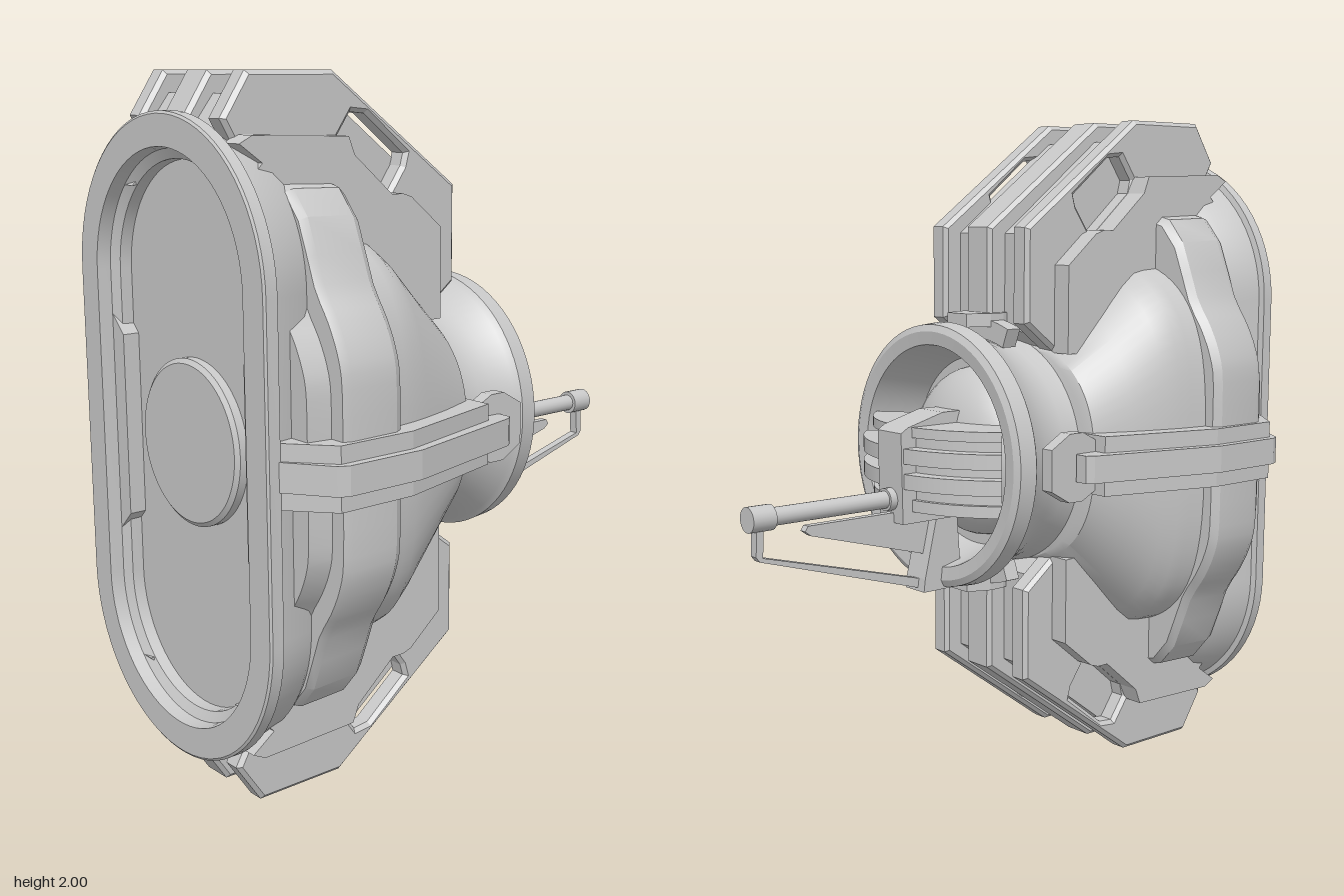
import * as THREE from 'three';
import { toCreasedNormals } from 'three/addons/utils/BufferGeometryUtils.js';

const grey = new THREE.MeshStandardMaterial({ color: 0xc8c8c8 });
grey.name = 'grey metal';

function add(parent, name, geometry) {
  const mesh = new THREE.Mesh(geometry, grey);
  mesh.name = name;
  parent.add(mesh);
  return mesh;
}

const toPoints = pts => pts.map(p => new THREE.Vector2(...p));

// Closed outlines in the xy plane, counter-clockwise
const N = 72;
const superellipse = (hw, hh, n) => Array.from({ length: N }, (_, i) => {
  const a = (i / N) * Math.PI * 2, c = Math.cos(a), s = Math.sin(a);
  return [hw * Math.sign(c) * Math.abs(c) ** (2 / n), hh * Math.sign(s) * Math.abs(s) ** (2 / n)];
});
const circle = r => superellipse(r, r, 2);
const stadium = r => Array.from({ length: N }, (_, i) => {
  const top = i < N / 2;
  const a = ((i % (N / 2)) / (N / 2 - 1)) * Math.PI + (top ? 0 : Math.PI);
  return [r * Math.cos(a), r * Math.sin(a) + (top ? 0.45 : -0.45)];
});

// Soft hexagon for the outer band, mirrored from one quadrant
const corner = new THREE.SplineCurve(toPoints([[1, 0], [1, 0.3], [0.97, 0.42], [0.9, 0.53], [0.8, 0.645], [0.58, 0.96], [0, 1]]));
const hull = (hw, hh) => Array.from({ length: N }, (_, i) => {
  const k = Math.floor(i / 18), step = (i % 18) / 18;
  const p = corner.getPoint(k % 2 ? 1 - step : step);
  return [p.x * hw * (k === 1 || k === 2 ? -1 : 1), p.y * hh * (k > 1 ? -1 : 1)];
});

// Skin a list of [outline, z] sections and close both ends
function loft(sections, crease = 0.5) {
  const pos = [], idx = [];
  sections.forEach(([o, z]) => o.forEach(([x, y]) => pos.push(x, y, z)));
  for (let s = 0; s < sections.length - 1; s++) {
    for (let i = 0; i < N; i++) {
      const a = s * N + i, b = s * N + (i + 1) % N;
      idx.push(a, b, b + N, a, b + N, a + N);
    }
  }
  const last = sections.length - 1, c = sections.length * N;
  pos.push(0, 0, sections[0][1], 0, 0, sections[last][1]);
  for (let i = 0; i < N; i++) {
    const j = (i + 1) % N;
    idx.push(c, j, i, c + 1, last * N + i, last * N + j);
  }
  const g = new THREE.BufferGeometry();
  g.setAttribute('position', new THREE.Float32BufferAttribute(pos, 3));
  g.setIndex(idx);
  return toCreasedNormals(g, crease);
}

// Side profile in (z, y), given thickness between x0 and x1
function sideProfile(pts, x0, x1, { hole, bevel = 0 } = {}) {
  const shape = new THREE.Shape(toPoints(pts));
  if (hole) shape.holes.push(new THREE.Path(toPoints(hole)));
  return new THREE.ExtrudeGeometry(shape, {
    depth: x1 - x0 - 2 * bevel, bevelEnabled: bevel > 0, bevelThickness: bevel,
    bevelSize: bevel, bevelOffset: -bevel, bevelSegments: 1,
  }).rotateY(-Math.PI / 2).translate(x1 - bevel, 0, 0);
}

// Plan profile in (x, z), given height h about y = 0
function planProfile(pts, h) {
  return new THREE.ExtrudeGeometry(new THREE.Shape(toPoints(pts)), { depth: h, bevelEnabled: false })
    .rotateX(Math.PI / 2).translate(0, h / 2, 0);
}

// Cylinder along z
function rod(r, z0, z1, y) {
  return new THREE.CylinderGeometry(r, r, Math.abs(z1 - z0), 20)
    .rotateX(Math.PI / 2).translate(0, y, (z0 + z1) / 2);
}

// Vertical rib stack: three ribs, filler between them, side plates
function ribStack() {
  const g = new THREE.Group();
  g.name = 'ribStack';
  const rib = [[0.79, 0.88], [0.71, 1], [0.43, 1], [-0.01, 0.68], [-0.01, 0.4], [0.12, 0.3], [0.6, 0.3], [0.72, 0.76]];
  const slot = [[0.42, 0.82], [0.37, 0.89], [0.32, 0.885], [0.18, 0.775], [0.19, 0.74], [0.24, 0.67], [0.28, 0.67], [0.41, 0.78]];
  add(g, 'centreRib', sideProfile(rib, -0.057, 0.057, { bevel: 0.012 }));
  const filler = [[0.77, 0.85], [0.7, 0.94], [0.42, 0.94], [0.05, 0.66], [0.05, 0.37], [0.12, 0.3], [0.6, 0.3], [0.7, 0.74]];
  add(g, 'ribFiller', sideProfile(filler, -0.17, 0.17));
  const plate = [[0.78, 0.82], [0.74, 0.84], [0.43, 0.83], [0.41, 0.78], [0.28, 0.67], [0.24, 0.67], [0.21, 0.66],
    [0.1, 0.57], [0.1, 0.31], [0.5, 0.3], [0.67, 0.7], [0.79, 0.69], [0.71, 0.77]];
  for (const s of [-1, 1]) {
    const a = s > 0 ? 0.155 : -0.225;
    add(g, 'outerRib', sideProfile(rib, a, a + 0.07, { hole: slot, bevel: 0.012 }));
    const b = s > 0 ? 0.215 : -0.285;
    add(g, 'sidePlate', sideProfile(plate, b, b + 0.07));
  }
  // Curved collar over the neck
  const arc = new THREE.Shape();
  arc.absarc(0, 0, 0.41, Math.PI * 0.38, Math.PI * 0.62, false);
  arc.absarc(0, 0, 0.35, Math.PI * 0.62, Math.PI * 0.38, true);
  add(g, 'neckCollar', new THREE.ExtrudeGeometry(arc, { depth: 0.05, bevelEnabled: false, curveSegments: 24 }).translate(0, 0, -0.02));
  return g;
}

// Horizontal strap round one flank
function flankStrap() {
  const g = new THREE.Group();
  g.name = 'flankStrap';
  add(g, 'strapBand', planProfile([[0.42, 0.81], [0.565, 0.69], [0.565, 0.45], [0.465, 0.08], [0.33, 0.08], [0.33, 0.66], [0.4, 0.8]], 0.175));
  add(g, 'strapRidge', planProfile([[0.44, 0.8], [0.575, 0.71], [0.59, 0.68], [0.59, 0.44], [0.485, 0.02], [0.47, 0], [0.43, 0], [0.36, 0.1], [0.36, 0.66]], 0.08));
  return g;
}

export function createModel() {
  const model = new THREE.Group();
  model.name = 'model';
  const root = new THREE.Group();
  root.name = 'housing';
  root.position.y = 1;
  model.add(root);

  // Front rim with sunken panel
  add(root, 'frontRim', loft([
    [0.36, 0.6], [0.41, 0.68], [0.43, 0.785], [0.447, 0.79], [0.447, 0.825], [0.44, 0.83],
    [0.355, 0.83], [0.35, 0.79], [0.322, 0.775], [0.32, 0.74],
  ].map(([r, z]) => [stadium(r), z])));
  add(root, 'frontDisc', loft([[circle(0.235), 0.735], [circle(0.235), 0.765], [circle(0.222), 0.775]]));
  for (const turn of [0, Math.PI]) {
    const guide = new THREE.ExtrudeGeometry(
      new THREE.Shape(toPoints([[0.295, -0.265], [0.355, -0.325], [0.355, 0.325], [0.295, 0.265]])),
      { depth: 0.06, bevelEnabled: false }).translate(0, 0, 0.73);
    add(root, 'panelGuide', guide).rotation.z = turn;
  }

  // Rounded inner shell and the stepped band in front of it
  add(root, 'innerShell', loft([
    [0.37, 0.34, 0.09, 2.3], [0.4, 0.35, 0.1, 2.4], [0.445, 0.455, 0.22, 2.7], [0.475, 0.545, 0.32, 3],
    [0.488, 0.575, 0.37, 3.2], [0.495, 0.582, 0.41, 3.2], [0.505, 0.585, 0.48, 3.2],
  ].map(([w, h, z, n]) => [superellipse(w, h, n), z])));
  add(root, 'outerBand', loft([
    [0.53, 0.71, 0.465], [0.545, 0.73, 0.49], [0.55, 0.735, 0.64], [0.54, 0.725, 0.665],
    [0.495, 0.65, 0.665], [0.485, 0.64, 0.735],
  ].map(([w, h, z]) => [hull(w, h), z])));

  // Neck and open rear ring
  add(root, 'rearRing', loft([
    [0.29, -0.01], [0.32, -0.12], [0.335, -0.185], [0.375, -0.19], [0.395, -0.18], [0.4, -0.125],
    [0.385, -0.11], [0.36, -0.05], [0.345, -0.01], [0.34, 0.04], [0.36, 0.12],
  ].map(([r, z]) => [circle(r), z])));
  const dome = add(root, 'innerDome', new THREE.SphereGeometry(0.26, 32, 20));
  dome.scale.z = 0.6;

  // Ribs and straps, repeated by a half turn
  for (const turn of [0, Math.PI]) {
    const ribs = ribStack(), strap = flankStrap();
    ribs.rotation.z = strap.rotation.z = turn;
    root.add(ribs, strap);
  }

  // Four clamps round the neck, wider on the flanks
  for (let i = 0; i < 4; i++) {
    const w = i % 2 ? 0.75 : 1;
    const clamp = add(root, 'neckClamp', sideProfile(
      [[0.09, 0.07], [0.03, 0.1], [-0.02, 0.1], [-0.09, 0.06], [-0.09, -0.06], [-0.02, -0.1], [0.03, -0.1], [0.09, -0.07]]
        .map(([z, y]) => [z, y * w]), 0.385, 0.425));
    clamp.rotation.z = i * Math.PI / 2;
  }

  // Finned drum crossing the rear opening
  const drum = new THREE.Group();
  drum.name = 'finnedDrum';
  root.add(drum);
  const half = 0.86;
  const slab = (r, y0, y1) => new THREE.CylinderGeometry(r, r, y1 - y0, 40, 1, false, Math.PI - half, half * 2)
    .translate(0, (y0 + y1) / 2, 0.09);
  add(drum, 'drumCore', slab(0.385, -0.13, 0.1));
  for (const [r, a, b] of [[0.4, -0.145, -0.11], [0.43, -0.075, -0.03], [0.43, 0, 0.045], [0.4, 0.075, 0.105]]) {
    add(drum, 'drumFin', slab(r, a, b));
  }

  // Rear block, leg and boom
  add(root, 'rearBlock', sideProfile([[-0.05, 0.14], [-0.19, 0.14], [-0.32, 0.105], [-0.345, 0.09], [-0.34, -0.18], [-0.05, -0.18]], -0.057, 0.057));
  add(root, 'rearLeg', sideProfile([[-0.11, -0.4], [-0.255, -0.4], [-0.25, -0.36], [-0.2, -0.15], [-0.13, -0.15]], -0.045, 0.045));
  add(root, 'boomRod', rod(0.026, -0.3, -0.78, -0.11));
  add(root, 'boomCollar', rod(0.034, -0.34, -0.365, -0.11));
  add(root, 'boomTip', rod(0.037, -0.755, -0.83, -0.11));
  add(root, 'boomStrut', sideProfile(
    [[-0.24, -0.365], [-0.79, -0.22], [-0.785, -0.12], [-0.808, -0.12], [-0.812, -0.215], [-0.8, -0.23], [-0.25, -0.392]], -0.014, 0.014));
  add(root, 'boomFin', sideProfile(
    [[-0.2, -0.15], [-0.64, -0.15], [-0.65, -0.165], [-0.63, -0.18], [-0.23, -0.29]], -0.012, 0.012));
  return model;
}
